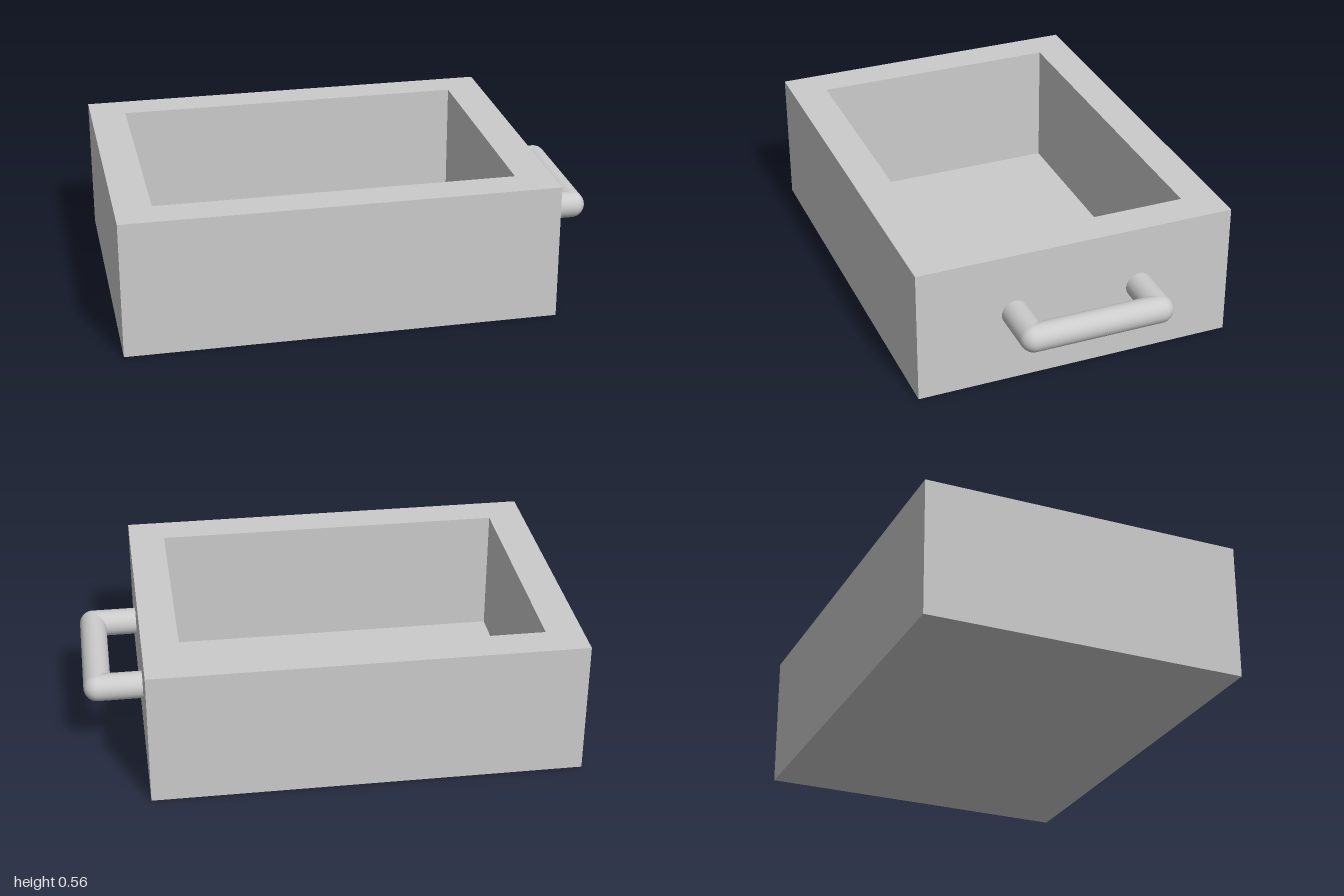
import * as THREE from 'three';

const material = new THREE.MeshStandardMaterial({ color: 0xcccccc });

function addMesh(parent, name, geometry, x = 0, y = 0, z = 0) {
  const mesh = new THREE.Mesh(geometry, material);
  mesh.name = name;
  mesh.position.set(x, y, z);
  parent.add(mesh);
  return mesh;
}

// Closed rectangle outline; y of the outline becomes -z once laid flat
function trace(path, x0, x1, z0, z1) {
  path.moveTo(x0, -z1);
  path.lineTo(x1, -z1);
  path.lineTo(x1, -z0);
  path.lineTo(x0, -z0);
  path.closePath();
  return path;
}

export function createModel() {
  const model = new THREE.Group();
  model.name = 'openBoxWithHandle';

  // Thick walls around a rectangular cavity
  const height = 0.565, floorHeight = 0.03;
  const outline = trace(new THREE.Shape(), -1, 0.76, -0.667, 0.665);
  outline.holes.push(trace(new THREE.Path(), -0.85, 0.61, -0.52, 0.515));
  const walls = new THREE.ExtrudeGeometry(outline, { depth: height, bevelEnabled: false });
  walls.rotateX(-Math.PI / 2);
  addMesh(model, 'walls', walls);

  // Thin floor closing the cavity
  addMesh(model, 'floor', new THREE.BoxGeometry(1.46, floorHeight, 1.035),
    -0.12, floorHeight / 2, -0.0025);

  // Round bar handle on one end: two legs, ball elbows and a grip
  const handle = new THREE.Group();
  handle.name = 'handle';
  handle.position.y = 0.304;
  model.add(handle);
  const radius = 0.056, gripX = 0.944, wallX = 0.75, backZ = -0.272, frontZ = 0.259;

  for (const [side, z] of [['back', backZ], ['front', frontZ]]) {
    const leg = new THREE.CylinderGeometry(radius, radius, gripX - wallX, 32, 1, true);
    leg.rotateZ(-Math.PI / 2);
    addMesh(handle, side + 'Leg', leg, (gripX + wallX) / 2, 0, z);
    addMesh(handle, side + 'Elbow', new THREE.SphereGeometry(radius, 32, 20), gripX, 0, z);
  }
  const grip = new THREE.CylinderGeometry(radius, radius, frontZ - backZ, 32, 1, true);
  grip.rotateX(Math.PI / 2);
  addMesh(handle, 'grip', grip, gripX, 0, (frontZ + backZ) / 2);

  return model;
}
